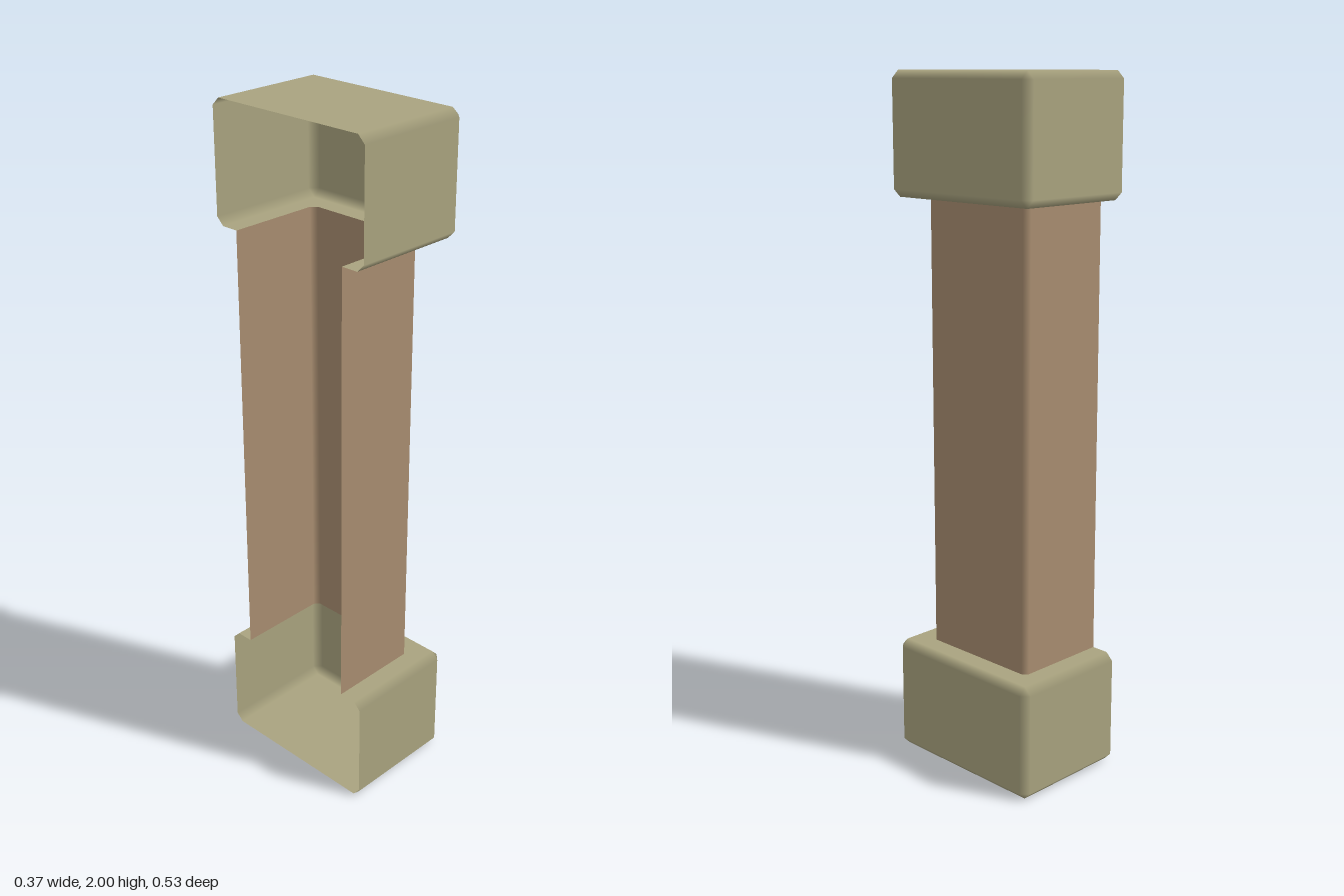
import * as THREE from 'three';

const BACK = -0.183; // open side of the half pillar

// U-shaped section, open towards -x, with chamfered corners.
// ny = 0 gives wall normals, ny = 1 or -1 gives normals facing up or down.
function section(y, hx, hz, c, ny = 0) {
  const points = [
    [BACK, hz, 0, 1], [hx - c, hz, 0, 1], [hx, hz - c, 1, 0],
    [hx, c - hz, 1, 0], [hx - c, -hz, 0, -1], [BACK, -hz, 0, -1],
  ];
  return points.map(([x, z, nx, nz]) => ({
    p: [x, y, z],
    n: ny ? [0, ny, 0] : [nx, 0, nz],
  }));
}

// Skin a stack of sections, listed from bottom to top.
function loft(name, rings, material) {
  const positions = [], normals = [], index = [];
  const n = rings[0].length;
  for (const ring of rings) {
    for (const v of ring) {
      positions.push(...v.p);
      normals.push(...v.n);
    }
  }
  for (let i = 0; i < rings.length - 1; i++) {
    for (let j = 0; j < n - 1; j++) {
      const a = i * n + j, b = a + 1, c = b + n, d = a + n;
      index.push(a, b, c, a, c, d);
    }
  }
  const geometry = new THREE.BufferGeometry();
  geometry.setAttribute('position', new THREE.Float32BufferAttribute(positions, 3));
  geometry.setAttribute('normal', new THREE.Float32BufferAttribute(normals, 3));
  geometry.setIndex(index);
  const mesh = new THREE.Mesh(geometry, material);
  mesh.name = name;
  return mesh;
}

export function createModel() {
  const stone = new THREE.MeshStandardMaterial({ color: 0xa9a37f, side: THREE.DoubleSide });
  stone.name = 'khaki stone';
  const clay = new THREE.MeshStandardMaterial({ color: 0xa88d70, side: THREE.DoubleSide });
  clay.name = 'brown clay';

  const bevel = 0.022, hx = 0.183, hz = 0.267;
  const shaftSection = (y, ny) => section(y, 0.107, 0.193, 0.015, ny);
  const closedEnd = (y, ny) => section(y, BACK, 0, 0, ny);

  // Bevelled block: one end is a full plate, the other a ledge around the shaft.
  const block = (name, y0, y1, bottomEnd, topEnd) => loft(name, [
    bottomEnd(y0, -1),
    section(y0, hx - bevel, hz - bevel, 0, -1),
    section(y0 + bevel, hx, hz, bevel),
    section(y1 - bevel, hx, hz, bevel),
    section(y1, hx - bevel, hz - bevel, 0, 1),
    topEnd(y1, 1),
  ], stone);

  const group = new THREE.Group();
  group.name = 'halfPillar';
  group.add(
    block('base', 0, 0.342, closedEnd, shaftSection),
    loft('shaft', [shaftSection(0.342), shaftSection(1.658)], clay),
    block('capital', 1.658, 2, shaftSection, closedEnd),
  );
  return group;
}
